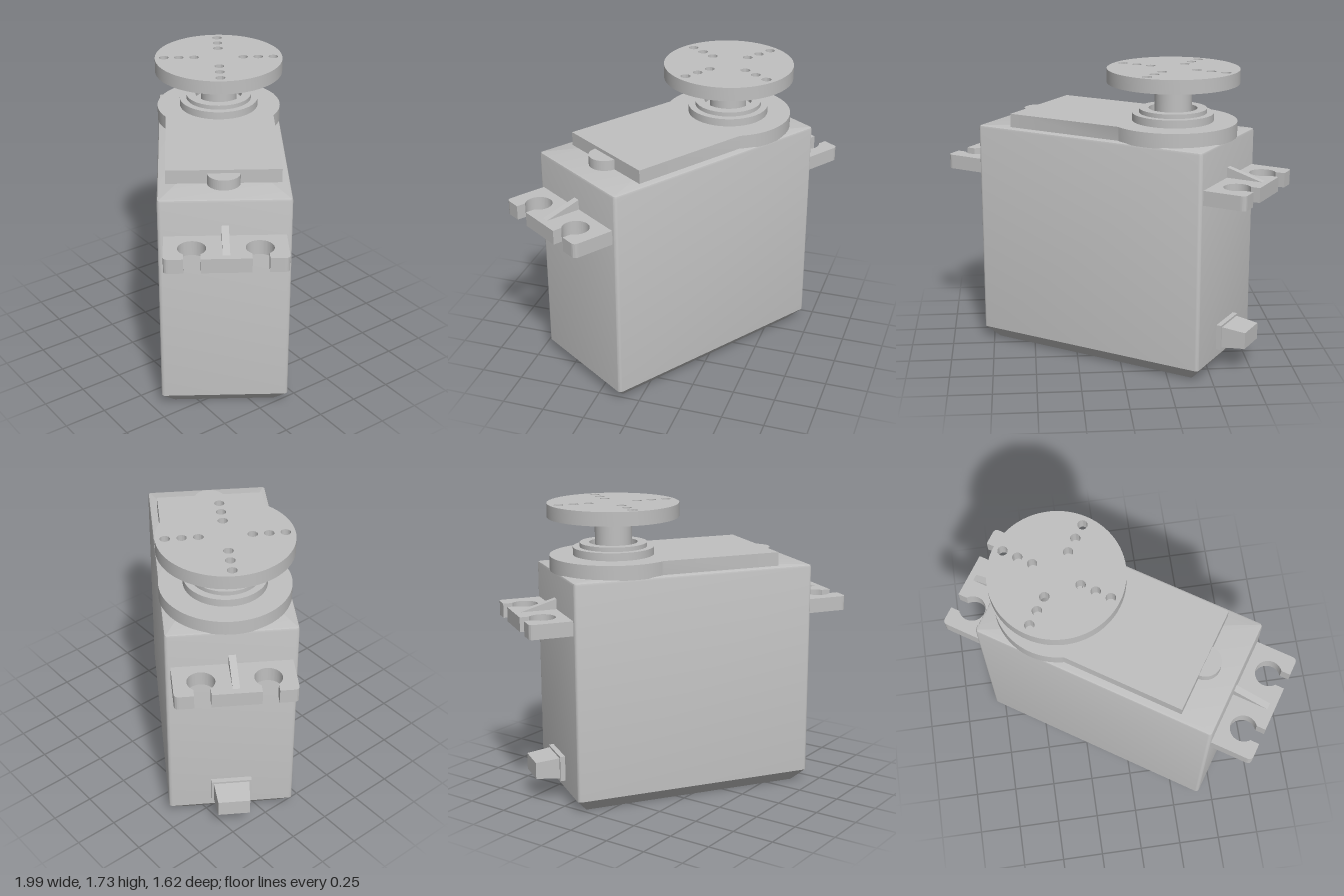
import * as THREE from 'three';
import { toCreasedNormals } from 'three/addons/utils/BufferGeometryUtils.js';

const grey = new THREE.MeshStandardMaterial({ color: 0xc0c0c0 });
grey.name = 'grey plastic';

const SHAFT_X = -0.374; // output axis along the length of the case

function addMesh(parent, name, geometry) {
  const mesh = new THREE.Mesh(geometry, grey);
  mesh.name = name;
  parent.add(mesh);
  return mesh;
}

// Plan outline (x, z) extruded from height y0 to y1
function slab(shape, y0, y1) {
  const g = new THREE.ExtrudeGeometry(shape, { depth: y1 - y0, bevelEnabled: false, curveSegments: 40 });
  g.rotateX(Math.PI / 2).translate(0, y1, 0);
  return toCreasedNormals(g, 0.5);
}

// Rounded rectangle in plan, anticlockwise in (x, z)
function roundedLoop(hx, hz, r, steps = 5) {
  const pts = [];
  [[1, 1], [-1, 1], [-1, -1], [1, -1]].forEach(([sx, sz], q) => {
    for (let i = 0; i <= steps; i++) {
      const a = (q + i / steps) * Math.PI / 2;
      pts.push([sx * (hx - r) + r * Math.cos(a), sz * (hz - r) + r * Math.sin(a)]);
    }
  });
  return pts;
}

// Solid through rounded rectangles, levels = [y, halfX, halfZ, radius]
function loft(levels) {
  const pos = [], idx = [];
  const loops = levels.map(([y, hx, hz, r]) => roundedLoop(hx, hz, r).map(([x, z]) => [x, y, z]));
  const n = loops[0].length;
  loops.forEach(l => l.forEach(p => pos.push(...p)));
  for (let k = 0; k < loops.length - 1; k++) {
    for (let i = 0; i < n; i++) {
      const j = (i + 1) % n, a = k * n, b = a + n;
      idx.push(a + i, b + i, a + j, a + j, b + i, b + j);
    }
  }
  const last = (loops.length - 1) * n;
  const c = loops.length * n;
  pos.push(0, levels[0][0], 0, 0, levels[levels.length - 1][0], 0);
  for (let i = 0; i < n; i++) {
    const j = (i + 1) % n;
    idx.push(c, i, j, c + 1, last + j, last + i);
  }
  const g = new THREE.BufferGeometry();
  g.setAttribute('position', new THREE.Float32BufferAttribute(pos, 3));
  g.setIndex(idx);
  return toCreasedNormals(g, 0.5);
}

// Mounting ear with two open screw slots
function earShape() {
  const s = new THREE.Shape();
  const hw = 0.335, end = 0.98, r = 0.03, hole = 0.077, gap = 0.046;
  const a = Math.asin(gap / hole);
  s.moveTo(0.72, -hw);
  s.lineTo(end - r, -hw);
  s.quadraticCurveTo(end, -hw, end, -hw + r);
  for (const z of [-0.182, 0.182]) {
    s.lineTo(end, z - gap);
    s.absarc(0.864, z, hole, -a, a, true);
    s.lineTo(end, z + gap);
  }
  s.lineTo(end, hw - r);
  s.quadraticCurveTo(end, hw, end - r, hw);
  s.lineTo(0.72, hw);
  s.closePath();
  return s;
}

export function createModel() {
  const root = new THREE.Group();
  root.name = 'servoMotor';
  const servo = new THREE.Group();
  servo.name = 'servo';
  servo.rotation.y = -THREE.MathUtils.degToRad(33.3);
  root.add(servo);

  // Case with chamfered base and softened edges
  addMesh(servo, 'case', loft([
    [0, 0.665, 0.3, 0.012],
    [0.075, 0.73, 0.365, 0.02],
    [1.335, 0.73, 0.365, 0.02],
    [1.346, 0.726, 0.361, 0.016],
    [1.35, 0.715, 0.35, 0.008],
  ]));

  // Raised gear cover: round end merging into a rectangle
  const R = 0.37, w = 0.32, a = Math.asin(w / R);
  const cover = new THREE.Shape();
  cover.moveTo(0.53, -w);
  cover.lineTo(0.53, w);
  cover.absarc(SHAFT_X, 0, R, a, Math.PI * 2 - a, false);
  cover.closePath();
  addMesh(servo, 'gearCover', slab(cover, 1.345, 1.43));

  // Half-round tab at the end of the cover
  const tab = new THREE.Shape();
  tab.absarc(0.528, 0, 0.092, -Math.PI / 2, Math.PI / 2, false);
  tab.closePath();
  addMesh(servo, 'coverTab', slab(tab, 1.345, 1.41));

  // Stepped bearing collar with a recess, and the output shaft
  const collar = [
    [0.235, 1.42], [0.235, 1.475], [0.195, 1.475], [0.195, 1.5],
    [0.14, 1.5], [0.14, 1.46], [0.1, 1.46],
  ].map(p => new THREE.Vector2(...p));
  addMesh(servo, 'bearingCollar', toCreasedNormals(new THREE.LatheGeometry(collar, 64), 0.5))
    .position.x = SHAFT_X;
  addMesh(servo, 'outputShaft', new THREE.CylinderGeometry(0.107, 0.107, 0.22, 48))
    .position.set(SHAFT_X, 1.55, 0);

  // Round horn with a cross of through holes
  const horn = new THREE.Shape();
  horn.absarc(0, 0, 0.38, 0, Math.PI * 2, false);
  for (let arm = 0; arm < 4; arm++) {
    for (const d of [0.146, 0.236, 0.326]) {
      const t = arm * Math.PI / 2;
      const hole = new THREE.Path();
      hole.absarc(d * Math.cos(t), d * Math.sin(t), 0.028, 0, Math.PI * 2, true);
      horn.holes.push(hole);
    }
  }
  addMesh(servo, 'hornDisc', slab(horn, 1.65, 1.73)).position.x = SHAFT_X;

  // Mounting ears with a gusset, one at each end
  const rib = new THREE.Shape();
  rib.moveTo(0.72, 1.13);
  rib.lineTo(0.96, 1.13);
  rib.lineTo(0.73, 1.195);
  rib.lineTo(0.72, 1.195);
  rib.closePath();
  const earGeo = slab(earShape(), 1.05, 1.135);
  const ribGeo = new THREE.ExtrudeGeometry(rib, { depth: 0.04, bevelEnabled: false });
  ribGeo.translate(0, 0, -0.02);
  for (const side of ['front', 'rear']) {
    const ear = new THREE.Group();
    ear.name = side + 'MountingEar';
    ear.rotation.y = side === 'front' ? 0 : Math.PI;
    addMesh(ear, 'earPlate', earGeo);
    addMesh(ear, 'earGusset', ribGeo);
    servo.add(ear);
  }

  // Cable exit: flange and tapered strain relief
  addMesh(servo, 'cableFlange', new THREE.BoxGeometry(0.04, 0.15, 0.235))
    .position.set(-0.74, 0.198, 0);
  const relief = new THREE.BoxGeometry(0.16, 0.13, 0.21);
  const p = relief.attributes.position;
  for (let i = 0; i < p.count; i++) {
    if (p.getX(i) < 0) {
      p.setY(i, p.getY(i) * 0.75);
      p.setZ(i, p.getZ(i) * 0.88);
    }
  }
  const reliefFlat = relief.toNonIndexed();
  reliefFlat.computeVertexNormals();
  addMesh(servo, 'cableRelief', reliefFlat).position.set(-0.82, 0.198, 0);

  return root;
}
